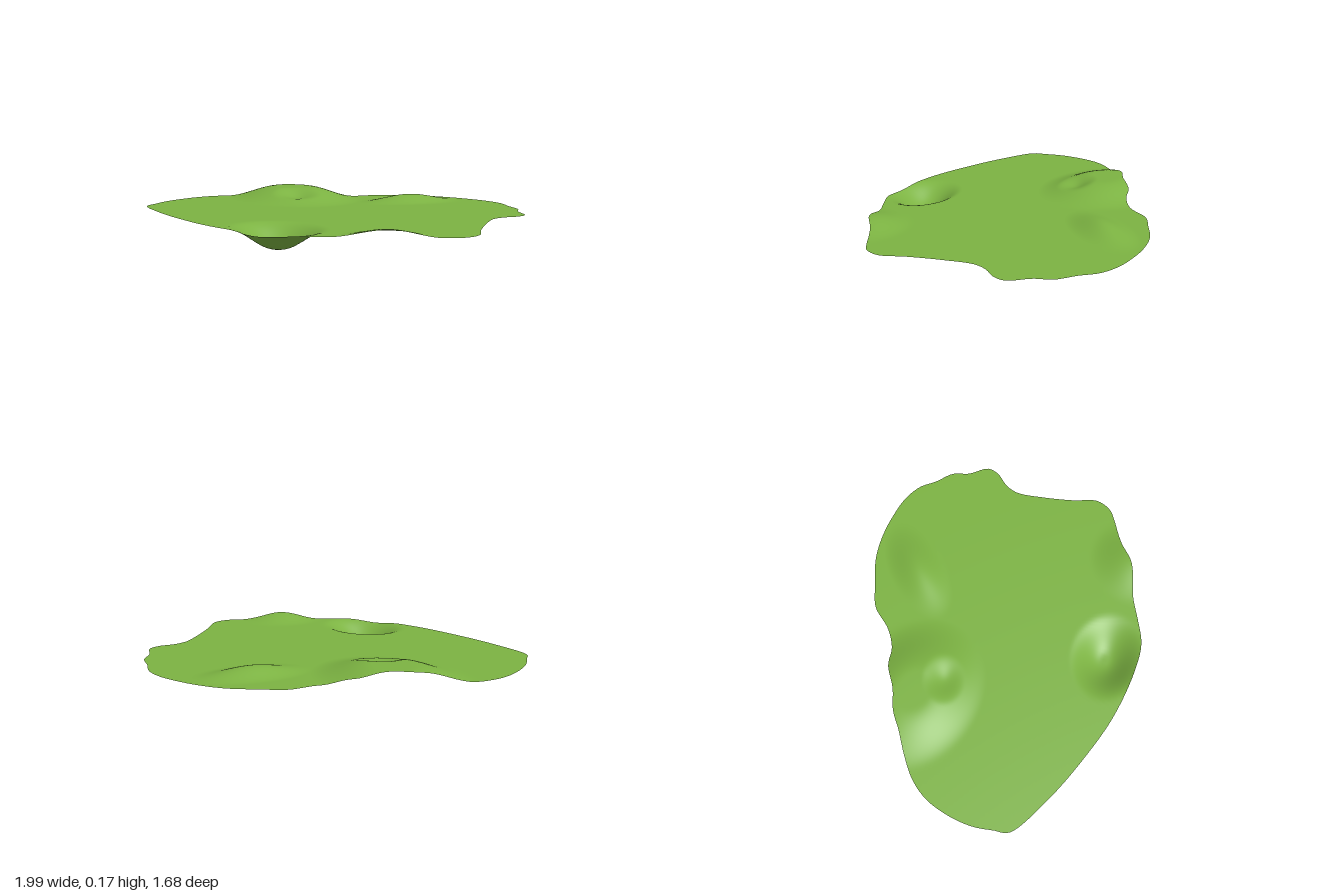
import * as THREE from 'three';

// Shoreline of the patch as [x, z], clockwise seen from above
const OUTLINE = [
  [0.30, -0.84], [0.41, -0.84], [0.52, -0.81], [0.60, -0.75], [0.70, -0.69], [0.75, -0.61],
  [0.84, -0.53], [0.84, -0.46], [0.80, -0.38], [0.79, -0.30], [0.84, -0.16], [0.92, 0.01],
  [0.99, 0.13], [0.98, 0.22], [0.93, 0.28], [0.81, 0.39], [0.72, 0.50], [0.56, 0.60],
  [0.45, 0.69], [0.34, 0.77], [0.20, 0.81], [-0.10, 0.835], [-0.38, 0.81], [-0.67, 0.755],
  [-0.91, 0.67], [-0.94, 0.60], [-0.98, 0.50], [-1.00, 0.37], [-0.99, 0.22], [-0.94, 0.10],
  [-0.86, 0.00], [-0.77, -0.09], [-0.70, -0.17], [-0.60, -0.24], [-0.50, -0.34], [-0.41, -0.38],
  [-0.32, -0.47], [-0.25, -0.60], [-0.14, -0.68], [0.00, -0.77], [0.15, -0.82],
];
const BASE = 0.1;

// Smooth elliptical hills (positive) and hollows (negative); core is the flat part
const BUMPS = [
  { x: -0.55, z: -0.14, rx: 0.45, rz: 0.36, turn: 0, h: 0.07, core: 0.25 },    // broad hill
  { x: -0.41, z: -0.04, rx: 0.15, rz: 0.12, turn: 0.5, h: -0.035, core: 0 },   // crater in the hill
  { x: 0.06, z: -0.52, rx: 0.32, rz: 0.16, turn: 1.0, h: 0.042, core: 0 },     // back ridge
  { x: 0.73, z: 0.48, rx: 0.26, rz: 0.22, turn: 0.7, h: 0.04, core: 0 },       // rise at the edge
  { x: 0.18, z: 0.645, rx: 0.26, rz: 0.21, turn: 0.2, h: -0.1, core: 0.1 },    // deep hollow
];

function heightAt(x, z) {
  let y = BASE;
  for (const b of BUMPS) {
    const c = Math.cos(b.turn), s = Math.sin(b.turn);
    const dx = x - b.x, dz = z - b.z;
    const d = Math.hypot((dx * c - dz * s) / b.rx, (dx * s + dz * c) / b.rz);
    y += b.h * (1 - THREE.MathUtils.smoothstep(d, b.core, 1));
  }
  return y;
}

// Concentric rings shrunk from the outline, lifted by the height rule
function buildSurface(rings, segments) {
  const curve = new THREE.CatmullRomCurve3(
    OUTLINE.map(([x, z]) => new THREE.Vector3(x, 0, z)), true);
  const edge = curve.getSpacedPoints(segments).slice(0, segments);
  const positions = [0, heightAt(0, 0), 0];
  const index = [];
  for (let r = 1; r <= rings; r++) {
    for (const p of edge) {
      const x = p.x * r / rings, z = p.z * r / rings;
      positions.push(x, heightAt(x, z), z);
    }
  }
  const id = (r, s) => 1 + (r - 1) * segments + (s % segments);
  for (let s = 0; s < segments; s++) {
    index.push(0, id(1, s + 1), id(1, s));
    for (let r = 1; r < rings; r++) {
      const a = id(r, s), b = id(r, s + 1), c = id(r + 1, s), d = id(r + 1, s + 1);
      index.push(a, b, d, a, d, c);
    }
  }
  const geometry = new THREE.BufferGeometry();
  geometry.setAttribute('position', new THREE.Float32BufferAttribute(positions, 3));
  geometry.setIndex(index);
  geometry.computeVertexNormals();
  return geometry;
}

export function createModel() {
  const group = new THREE.Group();
  group.name = 'grassPatch';
  const grass = new THREE.MeshStandardMaterial({ color: 0x7cb342, side: THREE.DoubleSide });
  const ground = new THREE.Mesh(buildSurface(70, 220), grass);
  ground.name = 'grassGround';
  group.add(ground);
  return group;
}
